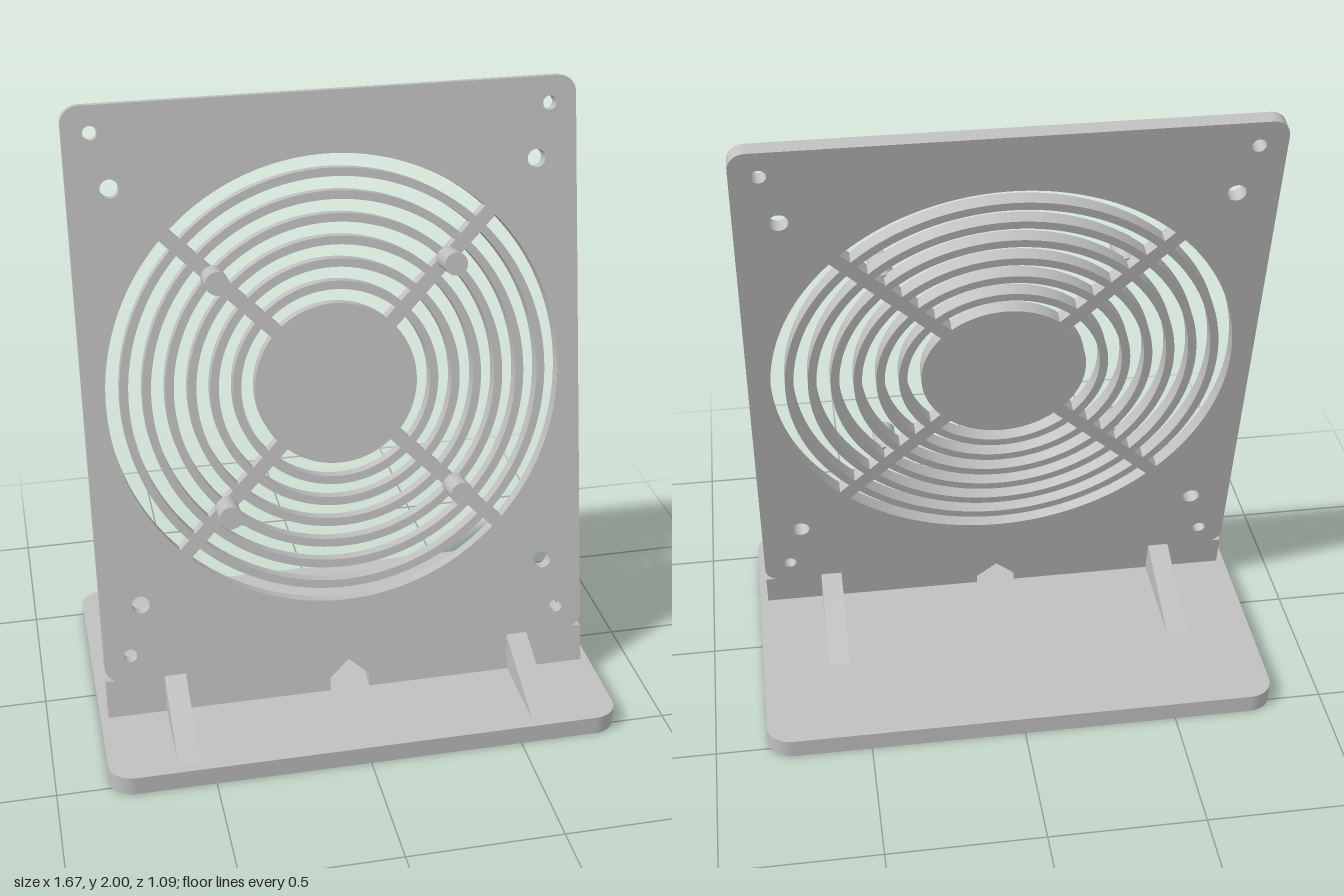
import * as THREE from 'three';

const TILT = THREE.MathUtils.degToRad(12);
const THICK = 0.047;          // panel thickness
const FRONT_Z = 0.232;        // where the panel's front face meets the ground
const FAN_Y = 1.116;          // fan centre, measured along the panel
const SPOKE_HALF = 0.0228;

function extrude(shape, depth, curveSegments = 24) {
  return new THREE.ExtrudeGeometry(shape, { depth, bevelEnabled: false, curveSegments });
}

// One curved grille slot in a quadrant, its ends parallel to the spokes
function slot(inner, outer, quadrant) {
  const mid = quadrant * Math.PI / 2;
  const ao = Math.PI / 4 - Math.asin(SPOKE_HALF / outer);
  const ai = Math.PI / 4 - Math.asin(SPOKE_HALF / inner);
  const path = new THREE.Path();
  path.absarc(0, FAN_Y, outer, mid - ao, mid + ao, false);
  path.absarc(0, FAN_Y, inner, mid + ai, mid - ai, true);
  path.closePath();
  return path;
}

// Panel outline with rounded corners, side notches and a cable opening
function panelShape() {
  const w = 0.806, top = 2.045, r = 0.055, foot = 0.04, step = 0.19;
  const s = new THREE.Shape();
  s.moveTo(0.066, foot);
  s.lineTo(w, foot);
  s.lineTo(w, step);
  s.absarc(w - r, 0.24, r, -1.12, 0, false);
  s.absarc(w - r, top - r, r, 0, Math.PI / 2, false);
  s.absarc(-w + r, top - r, r, Math.PI / 2, Math.PI, false);
  s.absarc(-w + r, 0.24, r, Math.PI, Math.PI + 1.12, false);
  s.lineTo(-w, step);
  s.lineTo(-w, foot);
  s.lineTo(-0.066, foot);
  s.lineTo(-0.066, 0.108);
  s.lineTo(0, 0.168);
  s.lineTo(0.066, 0.108);
  s.closePath();

  // Seven rings of slots between the hub and the rim
  for (let i = 0; i < 7; i++) {
    const inner = 0.263 + i * 0.0713;
    for (let q = 0; q < 4; q++) s.holes.push(slot(inner, inner + 0.0445, q));
  }
  // Screw holes near the corners
  for (const sx of [-1, 1]) for (const sy of [-1, 1]) {
    for (const [x, y, radius] of [[0.72, 0.845, 0.022], [0.674, 0.674, 0.029]]) {
      const hole = new THREE.Path();
      hole.absarc(sx * x, FAN_Y + sy * y, radius, 0, Math.PI * 2, true);
      s.holes.push(hole);
    }
  }
  return s;
}

function roundedRect(w, h, r) {
  const s = new THREE.Shape();
  s.absarc(w - r, h - r, r, 0, Math.PI / 2, false);
  s.absarc(-w + r, h - r, r, Math.PI / 2, Math.PI, false);
  s.absarc(-w + r, -h + r, r, Math.PI, Math.PI * 1.5, false);
  s.absarc(w - r, -h + r, r, Math.PI * 1.5, Math.PI * 2, false);
  s.closePath();
  return s;
}

export function createModel() {
  const grey = new THREE.MeshStandardMaterial({ color: 0xc0c0c0 });
  grey.name = 'light grey';
  const model = new THREE.Group();
  model.name = 'fanStand';

  const add = (parent, name, geometry) => {
    const mesh = new THREE.Mesh(geometry, grey);
    mesh.name = name;
    parent.add(mesh);
    return mesh;
  };

  // Base slab
  const base = extrude(roundedRect(0.833, 0.545, 0.08), 0.062, 12);
  base.rotateX(-Math.PI / 2);
  add(model, 'base', base);

  // Leaning panel with its pegs
  const panel = new THREE.Group();
  panel.name = 'leaningPanel';
  panel.position.z = FRONT_Z;
  panel.rotation.x = -TILT;
  model.add(panel);
  add(panel, 'grillePanel', extrude(panelShape(), THICK)).position.z = -THICK;

  for (const sx of [-1, 1]) for (const sy of [-1, 1]) {
    const peg = new THREE.CylinderGeometry(0.037, 0.037, 0.115, 32);
    peg.rotateX(Math.PI / 2);
    add(panel, 'mountingPeg', peg).position.set(sx * 0.377, FAN_Y + sy * 0.377, 0.0475);
  }

  // Triangular braces on both sides of the panel
  const brace = new THREE.Shape([
    [-0.21, 0.058], [0.515, 0.058], [0.19, 0.184], [0.142, 0.178],
  ].map(([z, y]) => new THREE.Vector2(-z, y)).reverse());
  for (const sx of [-1, 1]) {
    const geometry = extrude(brace, 0.07);
    geometry.translate(0, 0, -0.035);
    geometry.rotateY(Math.PI / 2);
    add(model, 'brace', geometry).position.x = sx * 0.58;
  }
  return model;
}
